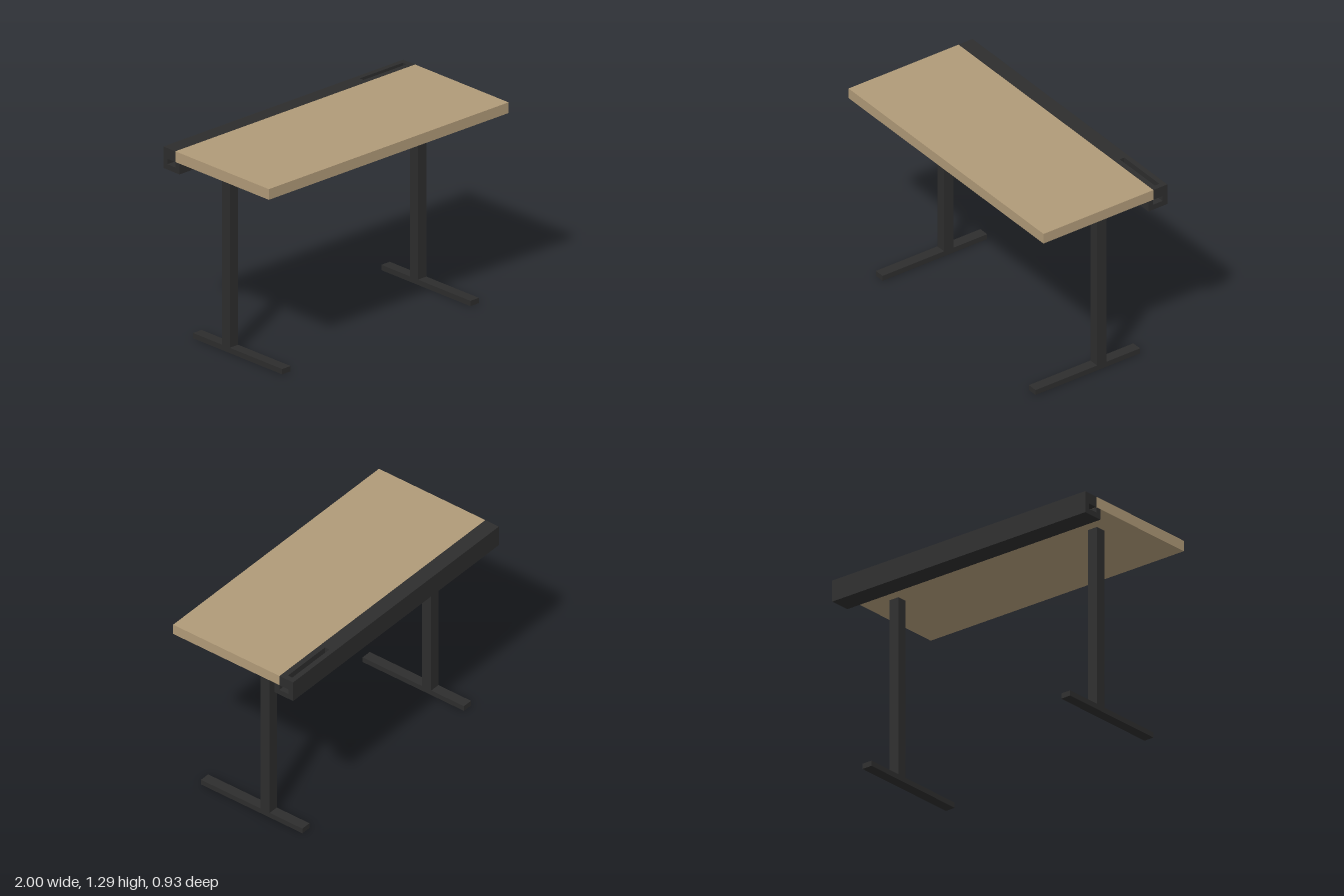
import * as THREE from 'three';

export function createModel() {
  const wood = new THREE.MeshStandardMaterial({ color: 0xb09a78 });
  wood.name = 'wood';
  const darkMetal = new THREE.MeshStandardMaterial({ color: 0x2d2d2d });
  darkMetal.name = 'dark metal';
  const desk = new THREE.Group();
  desk.name = 'desk';

  // Box given by its lower and upper corner
  function box(name, material, lo, hi, parent = desk) {
    const geometry = new THREE.BoxGeometry(hi[0] - lo[0], hi[1] - lo[1], hi[2] - lo[2]);
    const mesh = new THREE.Mesh(geometry, material);
    mesh.position.set((lo[0] + hi[0]) / 2, (lo[1] + hi[1]) / 2, (lo[2] + hi[2]) / 2);
    mesh.name = name;
    parent.add(mesh);
  }
  const polygon = (points) => new THREE.Shape(points.map(([x, y]) => new THREE.Vector2(x, y)));

  const top = 1.288, under = 1.218, back = -0.465, seam = -0.36, wall = -0.43;

  box('tabletop', wood, [-1, under, seam], [1, top, 0.465]);

  // Cable tray: hooked cross-section in (-z, y), run along x
  const section = polygon([
    [0.323, 1.147], [-back, 1.147], [-back, top], [-wall, top],
    [-wall, 1.182], [0.358, 1.182], [0.358, under], [0.323, under],
  ]);
  const trayGeometry = new THREE.ExtrudeGeometry(section, { depth: 2, bevelEnabled: false });
  trayGeometry.translate(0, 0, -1).rotateY(Math.PI / 2);
  const tray = new THREE.Mesh(trayGeometry, darkMetal);
  tray.name = 'cableTray';
  desk.add(tray);

  // Rear strip level with the tabletop, with a cable slot on the left
  const strip = polygon([[-1, -seam], [1, -seam], [1, -wall], [-1, -wall]]);
  strip.holes.push(polygon([[0.605, 0.397], [0.605, 0.4299], [0.965, 0.4299], [0.965, 0.397]]));
  const stripGeometry = new THREE.ExtrudeGeometry(strip, { depth: top - under, bevelEnabled: false });
  stripGeometry.rotateX(-Math.PI / 2).translate(0, under, 0);
  // The rotation maps shape y to -z
  const rearStrip = new THREE.Mesh(stripGeometry, darkMetal);
  rearStrip.name = 'slottedRearStrip';
  desk.add(rearStrip);

  // T-shaped legs
  for (const [name, x] of [['rightLeg', -0.785], ['leftLeg', 0.785]]) {
    const leg = new THREE.Group();
    leg.name = name;
    leg.position.x = x;
    box('column', darkMetal, [-0.035, 0.035, -0.14], [0.035, under, -0.07], leg);
    box('foot', darkMetal, [-0.035, 0, -0.393], [0.035, 0.035, 0.393], leg);
    desk.add(leg);
  }
  return desk;
}
